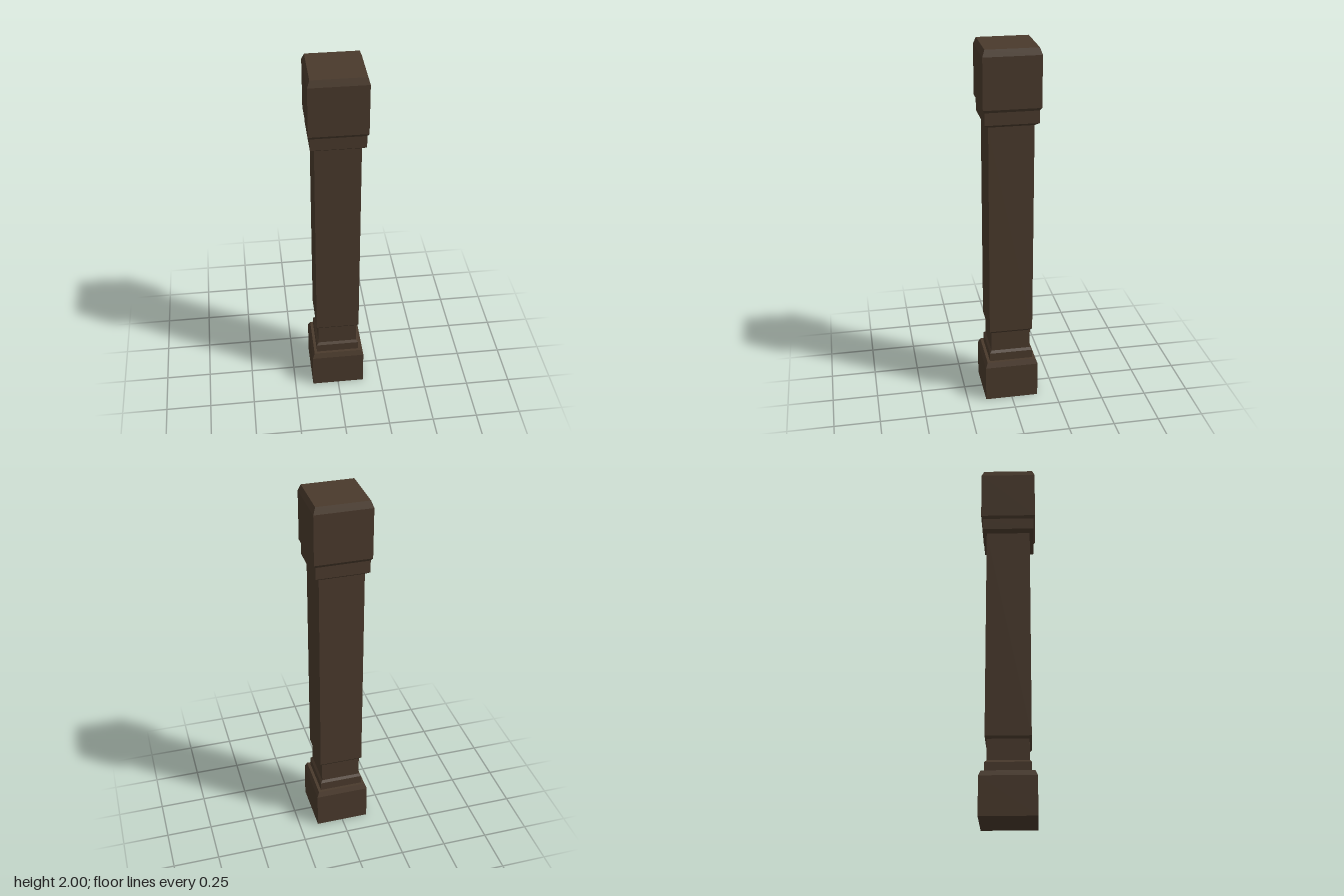
import * as THREE from 'three';

const wood = new THREE.MeshStandardMaterial({ color: 0x4a3a2c });
wood.name = 'darkWood';

// Square-section solid from [halfWidth, y] pairs listed bottom to top, closed at both ends
function squareTurned(name, profile) {
  const closed = [[0, profile[0][1]], ...profile, [0, profile[profile.length - 1][1]]];
  const points = closed.map(([half, y]) => new THREE.Vector2(half * Math.SQRT2, y));
  const geometry = new THREE.LatheGeometry(points, 4, Math.PI / 4).toNonIndexed();
  geometry.computeVertexNormals(); // flat faces with crisp edges
  const mesh = new THREE.Mesh(geometry, wood);
  mesh.name = name;
  return mesh;
}

export function createModel() {
  const post = new THREE.Group();
  post.name = 'squarePost';

  // Plinth with chamfered top edge
  post.add(squareTurned('plinth', [[0.147, 0], [0.147, 0.203], [0.135, 0.232]]));

  // Moulding ring above the plinth
  post.add(squareTurned('baseMoulding', [[0.119, 0.232], [0.119, 0.28], [0.108, 0.293]]));

  // Recessed neck stepping out to the long shaft
  post.add(squareTurned('shaft', [[0.108, 0.293], [0.108, 0.405], [0.119, 0.418], [0.119, 1.6]]));

  // Capital: flared collar, block and chamfered top
  post.add(squareTurned('capital', [
    [0.119, 1.6], [0.141, 1.616], [0.141, 1.682], [0.15, 1.697], [0.15, 1.965], [0.137, 2],
  ]));

  return post;
}
